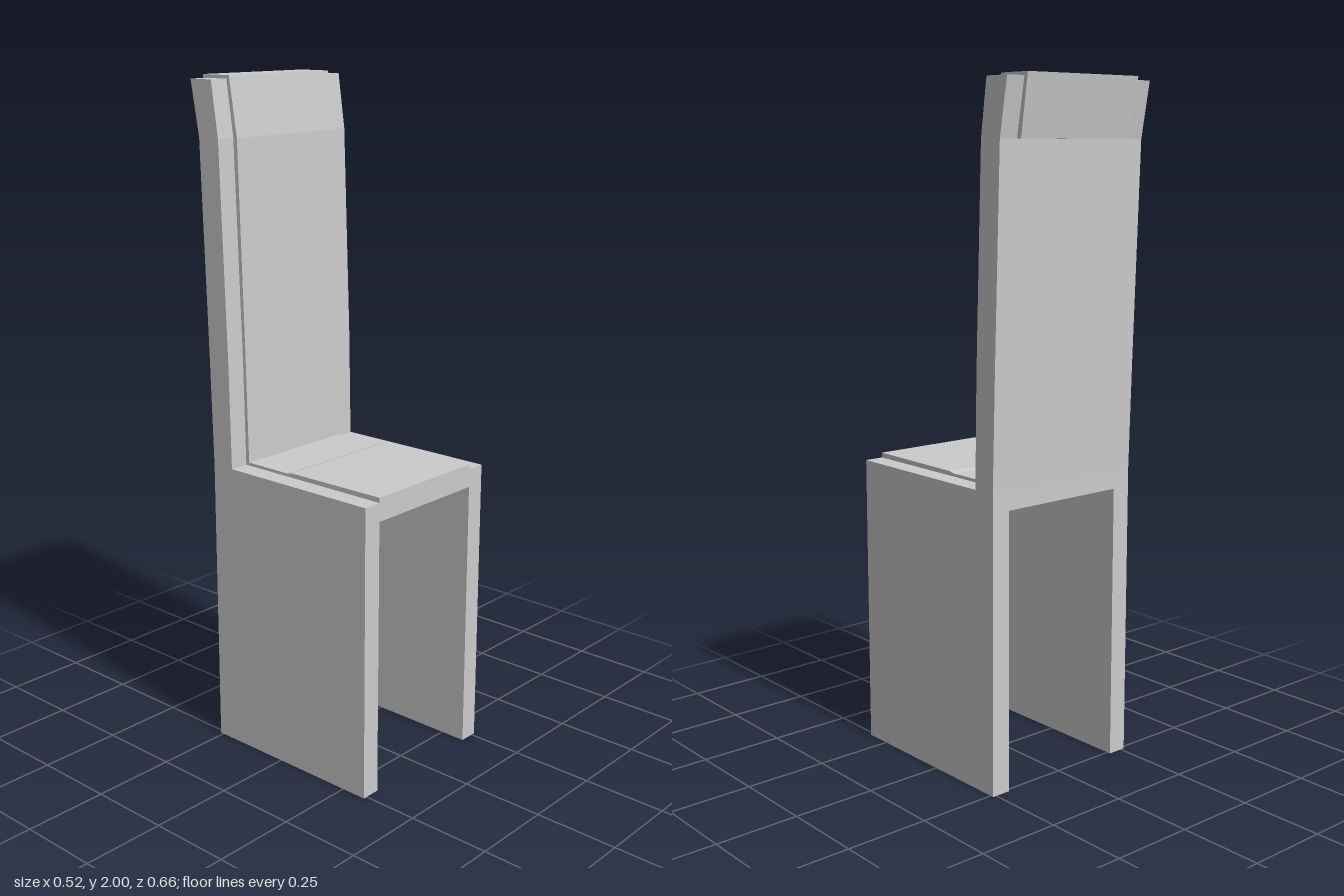
import * as THREE from 'three';

const material = new THREE.MeshStandardMaterial({ color: 0xcccccc });

// Extrudes a side profile of [z, y] points across x, from x0 to x1.
function profilePart(name, points, x0, x1) {
  const shape = new THREE.Shape(points.map(([z, y]) => new THREE.Vector2(z, y)));
  const geometry = new THREE.ExtrudeGeometry(shape, { depth: x1 - x0, bevelEnabled: false });
  geometry.rotateY(-Math.PI / 2);
  geometry.translate(x1, 0, 0);
  const mesh = new THREE.Mesh(geometry, material);
  mesh.name = name;
  return mesh;
}

export function createModel() {
  const group = new THREE.Group();
  group.name = 'highBackChair';
  const inner = 0.203, outer = 0.262;

  // Rear edge shared by the side panels and the upholstery, top to bottom
  const rear = [[-0.291, 1.83], [-0.27, 1.2], [-0.261, 0.88]];

  // Solid side panels: leg, seat edge and back upright in one piece
  const side = [
    [0.33, 0], [0.33, 0.88], [-0.187, 0.88], [-0.193, 1.2], [-0.215, 1.83],
    [-0.238, 1.99], [-0.32, 1.99], ...rear, [-0.261, 0],
  ];
  group.add(profilePart('leftSidePanel', side, inner, outer));
  group.add(profilePart('rightSidePanel', side, -outer, -inner));

  // Upholstered seat and back, folding over the top into a short rear flap
  const upholstery = [
    [0.33, 0.825], [0.33, 0.895], [0, 0.893], [-0.02, 0.889], [-0.175, 0.889],
    [-0.182, 1.2], [-0.201, 1.83], [-0.228, 2], [-0.333, 2], [-0.307, 1.83],
    ...rear, [-0.261, 0.825],
  ];
  group.add(profilePart('seatAndBackUpholstery', upholstery, -inner, inner));
  return group;
}
